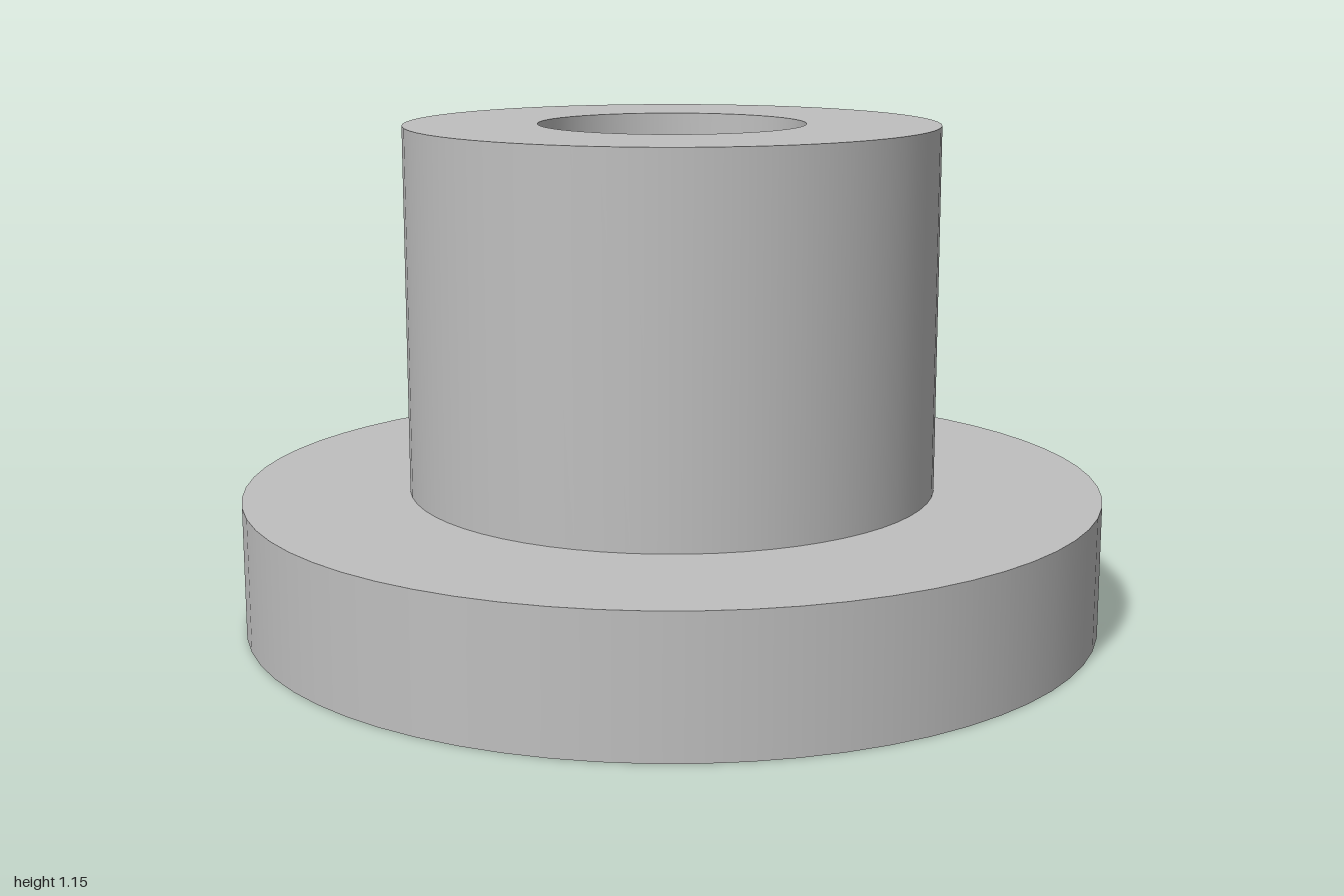
import * as THREE from 'three';
import { mergeGeometries } from 'three/addons/utils/BufferGeometryUtils.js';

const SEGMENTS = 64;
const FLANGE_RADIUS = 1, SLEEVE_RADIUS = 0.615, BORE_RADIUS = 0.308;
const FLANGE_TOP = 0.308, SLEEVE_TOP = 1.154;

// Revolves each profile edge separately, so rims stay sharp and walls smooth
function revolve(profile) {
  const points = profile.map(([r, y]) => new THREE.Vector2(r, y));
  const bands = points.slice(1).map((p, i) => new THREE.LatheGeometry([points[i], p], SEGMENTS));
  return mergeGeometries(bands);
}

export function createModel() {
  const model = new THREE.Group();
  model.name = 'flangedBushing';
  const grey = new THREE.MeshStandardMaterial({ color: 0xbfbfbf });
  grey.name = 'grey';

  const addPart = (name, profile) => {
    const mesh = new THREE.Mesh(revolve(profile), grey);
    mesh.name = name;
    model.add(mesh);
  };

  // Wide base ring: underside, rim and exposed upper face
  addPart('flange', [
    [BORE_RADIUS, 0], [FLANGE_RADIUS, 0],
    [FLANGE_RADIUS, FLANGE_TOP], [SLEEVE_RADIUS, FLANGE_TOP],
  ]);
  // Upright tube: outer wall and top ring
  addPart('sleeve', [
    [SLEEVE_RADIUS, FLANGE_TOP], [SLEEVE_RADIUS, SLEEVE_TOP], [BORE_RADIUS, SLEEVE_TOP],
  ]);
  // Through hole, facing inwards
  addPart('bore', [[BORE_RADIUS, SLEEVE_TOP], [BORE_RADIUS, 0]]);

  return model;
}
